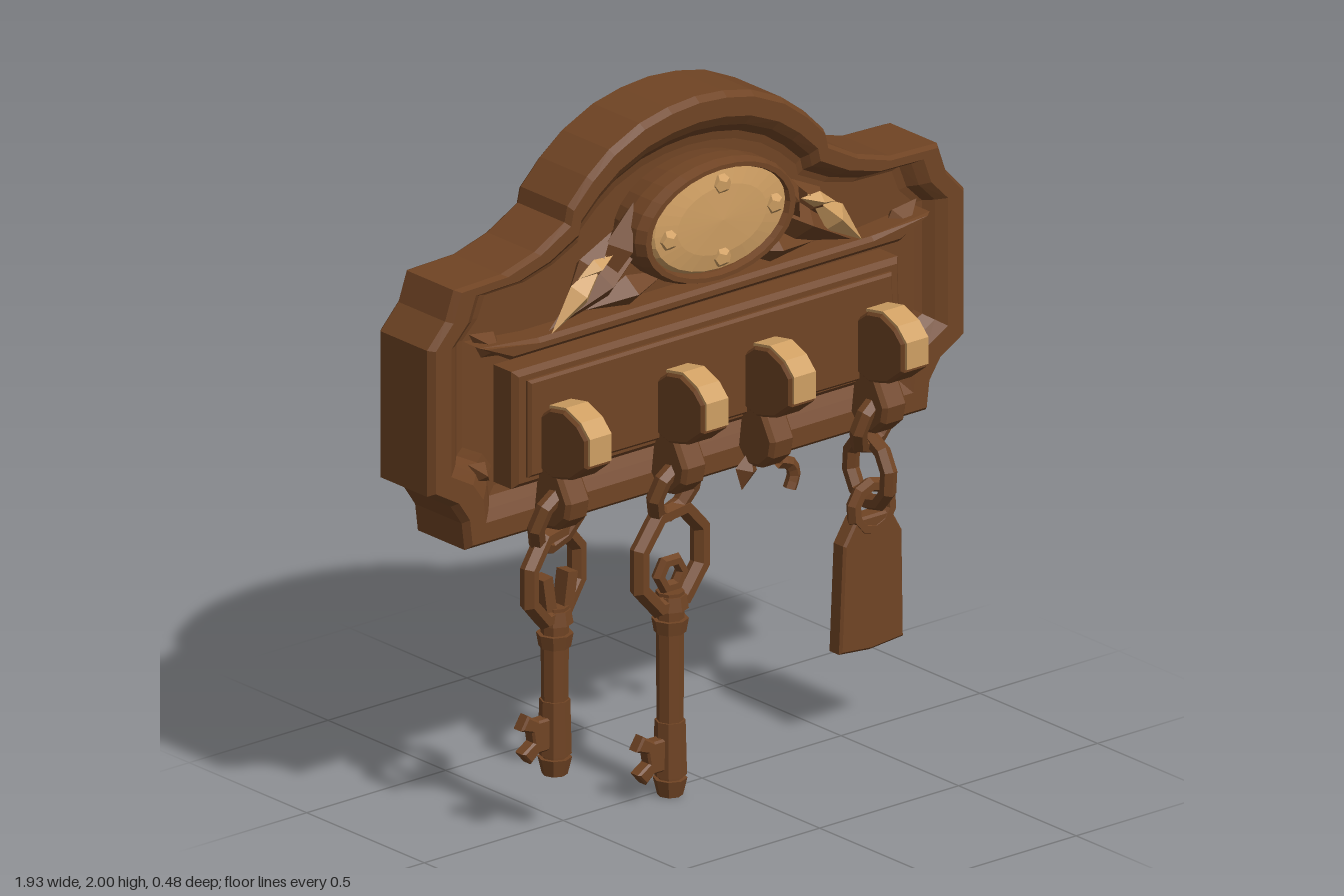
import * as THREE from 'three';

const mat = (name, color) => new THREE.MeshStandardMaterial({ name, color, flatShading: true });

export function createModel() {
  const group = new THREE.Group();
  const wood = mat('brown wood', 0x704424);
  const gold = mat('pale gold', 0xcf9f63);
  wood.side = gold.side = THREE.DoubleSide;

  const add = (name, geo, m, x = 0, y = 0, z = 0, parent = group) => {
    const mesh = new THREE.Mesh(geo, m);
    mesh.name = name;
    mesh.position.set(x, y, z);
    parent.add(mesh);
    return mesh;
  };
  const shapeOf = pts => new THREE.Shape(pts.map(p => new THREE.Vector2(p[0], p[1])));
  const extrude = (pts, depth, bevel = 0) => new THREE.ExtrudeGeometry(shapeOf(pts), {
    depth, bevelEnabled: bevel > 0, bevelSize: bevel, bevelThickness: bevel, bevelOffset: -bevel, bevelSegments: 1,
  });
  // Profile drawn as (z, y), extruded sideways and centred on x
  const sideExtrude = (pts, width, bevel = 0) => {
    const g = extrude(pts, width - 2 * bevel, bevel);
    g.translate(0, 0, -width / 2 + bevel);
    g.rotateY(-Math.PI / 2);
    return g;
  };

  // Backboard: nested outlines form the side, rounded rim and recessed field
  const half = [[0.83, 0.87], [0.84, 0.95], [0.88, 1.01], [0.965, 1.06], [0.965, 1.49], [0.9, 1.56],
    [0.87, 1.645], [0.7, 1.65], [0.58, 1.685], [0.47, 1.745], [0.46, 1.79], [0.39, 1.86], [0.31, 1.92],
    [0.2, 1.97], [0.1, 1.992]];
  const outline = [...half, [0, 2], ...half.slice().reverse().map(([x, y]) => [-x, y])];
  const inset = d => outline.map(([x, y]) => [x * (1 - d / 0.95), 1.43 + (y - 1.43) * (1 - d / 0.56)]);
  const sections = [[0.012, -0.24], [0, -0.228], [0, -0.03], [0.015, -0.01], [0.07, -0.01],
    [0.1, -0.03], [0.125, -0.055], [0.15, -0.06]];
  const pos = [];
  for (let k = 0; k + 1 < sections.length; k++) {
    const [da, za] = sections[k], [db, zb] = sections[k + 1];
    const A = inset(da), B = inset(db);
    A.forEach((p, i) => {
      const j = (i + 1) % A.length;
      const a = [...p, za], b = [...A[j], za], c = [...B[j], zb], d = [...B[i], zb];
      pos.push(...a, ...b, ...c, ...a, ...c, ...d);
    });
  }
  const rim = new THREE.BufferGeometry();
  rim.setAttribute('position', new THREE.Float32BufferAttribute(pos, 3));
  rim.computeVertexNormals();
  add('boardRim', rim, wood);
  add('boardField', new THREE.ShapeGeometry(shapeOf(inset(0.15))), wood, 0, 0, -0.06);
  const back = new THREE.ShapeGeometry(shapeOf(inset(0.012)));
  back.rotateY(Math.PI);
  add('boardBack', back, wood, 0, 0, -0.24);

  // Hook panel with a slightly raised face, and the ledge above it
  add('hookPanel', extrude([[-0.7, 1.03], [0.7, 1.03], [0.69, 1.37], [-0.7, 1.375]], 0.075, 0.015), wood, 0, 0, -0.06);
  add('panelFace', extrude([[-0.66, 1.06], [0.66, 1.05], [0.65, 1.34], [-0.66, 1.345]], 0.01, 0.008), wood, 0, 0, 0.028);
  add('ledge', extrude([[-0.7, 1.41], [0.7, 1.41], [0.81, 1.47], [0.6, 1.45], [-0.6, 1.45], [-0.81, 1.47]], 0.07, 0.012),
    wood, 0, 0, -0.06);

  // Oval medallion: moulded frame, pale cabochon and studs
  const lathe = pts => {
    const g = new THREE.LatheGeometry(pts.map(p => new THREE.Vector2(p[0], p[1])), 28);
    g.rotateX(Math.PI / 2);
    g.scale(1, 0.62, 1);
    return g;
  };
  add('medallionFrame', lathe([[0.27, -0.06], [0.285, 0.0], [0.285, 0.05], [0.27, 0.08], [0.25, 0.08], [0.24, 0.06]]),
    wood, 0, 1.66, 0);
  add('medallionOval', lathe([[0.252, 0.055], [0.235, 0.075], [0.16, 0.085], [0, 0.09]]), gold, 0, 1.67, 0);
  for (const [x, y] of [[0, 1.775], [0, 1.56], [-0.19, 1.655], [0.19, 1.67]]) {
    const stud = add('medallionStud', new THREE.DodecahedronGeometry(0.03, 0), gold, x, y, 0.082);
    stud.scale.set(1, 1, 0.8);
  }

  // Leaf ornaments and corner accents, mirrored
  const leaf = (name, m, x, y, z, length, width, angle, depth = 0.05) => {
    const g = new THREE.OctahedronGeometry(1, 0);
    g.scale(length / 2, width / 2, depth);
    add(name, g, m, x, y, z).rotation.z = angle;
  };
  for (const s of [-1, 1]) {
    leaf('leafBase', wood, s * 0.36, 1.55, -0.01, 0.42, 0.12, s * -0.5, 0.06);
    leaf('leafSpike', wood, s * 0.3, 1.64, 0.0, 0.26, 0.1, s * -1.15, 0.06);
    leaf('leafCurl', wood, s * 0.4, 1.6, -0.01, 0.24, 0.09, s * -0.8);
    leaf('leafLower', wood, s * 0.26, 1.5, -0.01, 0.3, 0.09, s * -0.15);
    leaf('leafTip', gold, s * 0.46, 1.545, 0.02, 0.27, 0.085, s * -0.75, 0.035);
    leaf('leafTipInner', gold, s * 0.4, 1.61, 0.02, 0.13, 0.05, s * -0.3, 0.03);
    leaf('cornerAccentTop', wood, s * 0.74, 1.45, -0.04, 0.16, 0.08, s * 0.6);
    leaf('cornerAccentBottom', wood, s * 0.77, 1.08, -0.04, 0.1, 0.07, s * 0.7, 0.04);
  }

  // Hooks: heavy rounded knob, lower curl and worn pale top
  const knob = [[0.02, 1.08], [0.09, 1.06], [0.17, 1.08], [0.235, 1.13], [0.235, 1.215], [0.2, 1.25],
    [0.14, 1.275], [0.08, 1.265], [0.02, 1.22]];
  const curl = [[0.02, 1.1], [0.0, 0.95], [0.04, 0.9], [0.1, 0.91], [0.145, 0.95], [0.155, 1.0], [0.11, 1.08]];
  const worn = [[0.235, 1.14], [0.243, 1.14], [0.243, 1.219], [0.204, 1.258], [0.14, 1.283], [0.07, 1.271],
    [0.07, 1.262], [0.14, 1.275], [0.2, 1.25], [0.235, 1.215]];
  const hookXs = [-0.57, -0.15, 0.165, 0.57];
  for (const x of hookXs) {
    add('hookKnob', sideExtrude(knob, 0.095, 0.008), wood, x);
    add('hookCurl', sideExtrude(curl, 0.085, 0.012), wood, x);
    add('hookWornTop', sideExtrude(worn, 0.078), gold, x);
  }
  leaf('hookEnd', wood, 0.125, 0.89, 0.04, 0.12, 0.08, 1.3, 0.03);

  // Chain links and rings
  const ring = (name, x, y, z, r, t, sides, turn = 0, tilt = 0) =>
    add(name, new THREE.TorusGeometry(r, t, 6, sides), wood, x, y, z).rotation.set(tilt, turn, Math.PI / 8);
  ring('hookLink', -0.57, 0.93, 0.06, 0.095, 0.025, 9, 0.2, 0.3);
  ring('hookLink', -0.15, 0.91, 0.06, 0.085, 0.025, 9, 0.2, 0.3);
  ring('hookLink', 0.57, 0.93, 0.06, 0.08, 0.025, 9, 0.3, 0.3);
  ring('keyRing', -0.57, 0.755, 0.04, 0.13, 0.027, 8, 0.3);
  ring('keyRing', -0.15, 0.7, 0.04, 0.145, 0.028, 8, 0.2);
  ring('tagLink', 0.565, 0.78, 0.045, 0.095, 0.024, 10, Math.PI / 2 - 0.1);
  ring('tagEyelet', 0.575, 0.67, 0.04, 0.065, 0.022, 10);

  // Keys: bow, collars, shaft, tip and toothed bit
  const key = (x, top, bottom, open) => {
    const k = new THREE.Group();
    k.name = 'key';
    k.position.set(x, 0, 0.035);
    group.add(k);
    const cyl = (name, r1, r2, y0, y1) =>
      add(name, new THREE.CylinderGeometry(r2, r1, y1 - y0, 8), wood, 0, (y0 + y1) / 2, 0, k);
    cyl('keyShaft', 0.036, 0.04, bottom + 0.03, top - 0.1);
    cyl('keyCollar', 0.052, 0.045, top - 0.15, top - 0.11);
    cyl('keyCollar', 0.045, 0.052, top - 0.22, top - 0.18);
    cyl('keyBarrel', 0.047, 0.043, bottom + 0.06, bottom + 0.22);
    cyl('keyTip', 0.036, 0.048, bottom, bottom + 0.05);
    if (open) {
      for (const s of [-1, 1]) {
        const prong = add('keyBowProng', new THREE.BoxGeometry(0.035, 0.11, 0.05), wood, s * 0.037, top - 0.06, 0, k);
        prong.rotation.z = s * -0.15;
      }
    } else {
      add('keyBow', new THREE.TorusGeometry(0.042, 0.02, 6, 6), wood, 0, top - 0.05, 0, k);
    }
    const bit = [[-0.03, 0.07], [-0.07, 0.07], [-0.1, 0.045], [-0.13, 0.08], [-0.09, 0.105], [-0.095, 0.135],
      [-0.135, 0.15], [-0.11, 0.19], [-0.07, 0.165], [-0.03, 0.165]];
    add('keyBit', extrude(bit, 0.03, 0.006), wood, 0, bottom + 0.01, -0.015, k);
  };
  key(-0.56, 0.76, 0.165, true);
  key(-0.145, 0.7, 0, false);

  // Hanging tag
  add('tag', extrude([[0.45, 0.265], [0.56, 0.255], [0.68, 0.265], [0.675, 0.58], [0.635, 0.65], [0.51, 0.65],
    [0.465, 0.58]], 0.04, 0.007), wood, 0, 0, 0.01);

  // Small broken catch below the board
  add('brokenCatch', new THREE.TubeGeometry(new THREE.CatmullRomCurve3([[0.25, 0.88], [0.29, 0.865], [0.305, 0.83],
    [0.29, 0.79]].map(([x, y]) => new THREE.Vector3(x, y, 0.03))), 6, 0.02, 5), wood);
  return group;
}
